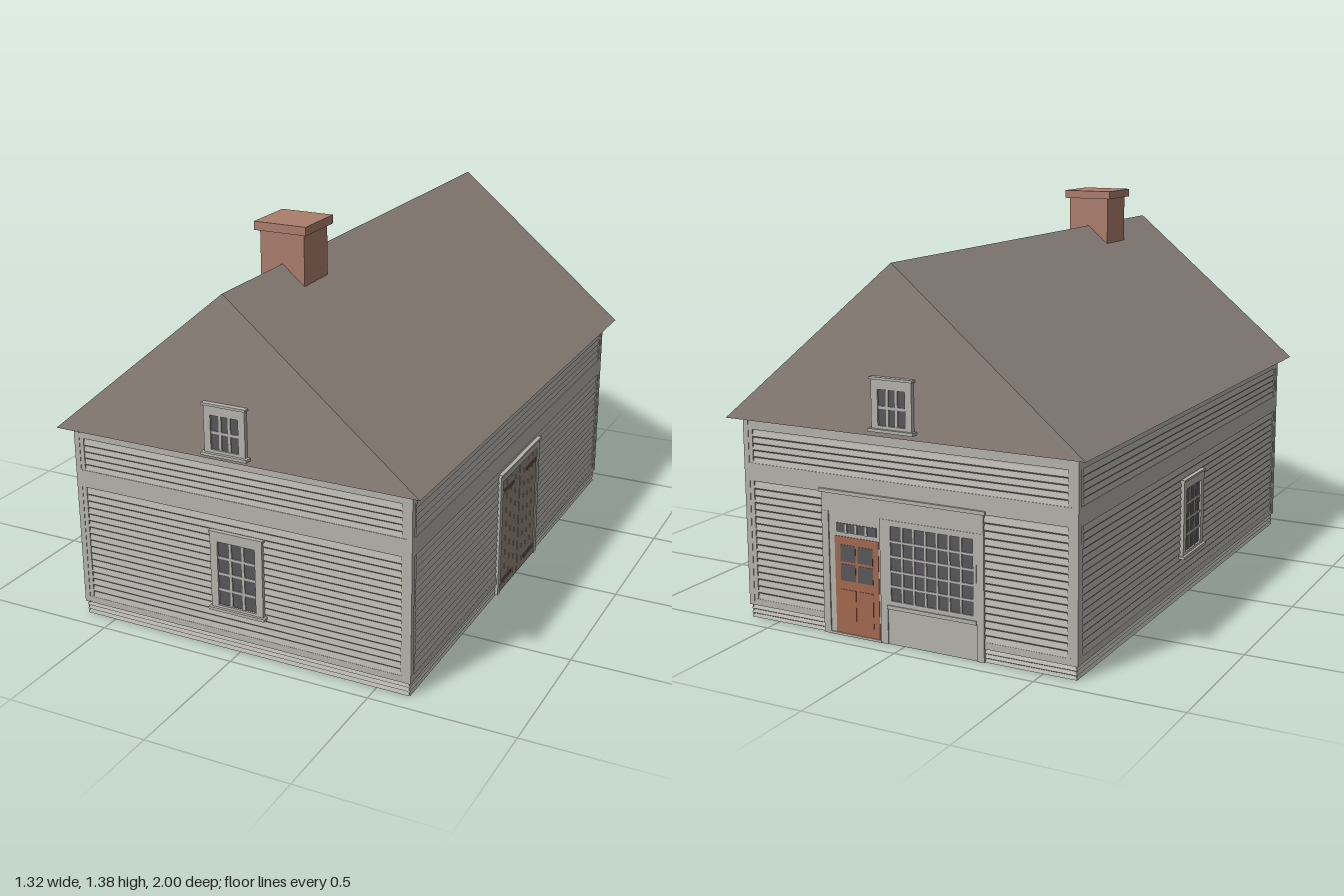
import * as THREE from 'three';

const mat = (name, color) => Object.assign(new THREE.MeshStandardMaterial({ color }), { name });

export function createModel() {
  const paint = mat('grey paint', 0xb3b2ab);
  const shingle = mat('roof brown', 0x8f857d);
  const brick = mat('brick', 0xab7d6c);
  const glass = mat('dark glass', 0x57575a);
  const timber = mat('barn timber', 0x91857b);
  const iron = mat('iron strap', 0x5c5650);
  const red = mat('red door', 0xa3684f);

  const house = new THREE.Group();
  house.name = 'house';

  const add = (parent, name, geo, material) => {
    const m = new THREE.Mesh(geo, material);
    m.name = name;
    parent.add(m);
    return m;
  };
  // Box given by its limits
  const block = (p, name, material, x0, x1, y0, y1, z0, z1) => {
    const m = add(p, name, new THREE.BoxGeometry(x1 - x0, y1 - y0, z1 - z0), material);
    m.position.set((x0 + x1) / 2, (y0 + y1) / 2, (z0 + z1) / 2);
    return m;
  };
  const rect = (C, x0, x1, y0, y1) => {
    const s = new C();
    s.moveTo(x0, y0); s.lineTo(x1, y0); s.lineTo(x1, y1); s.lineTo(x0, y1); s.closePath();
    return s;
  };
  // Board with a rectangular opening: o = outer limits, h = hole limits
  const frame = (p, name, material, o, h, depth) => {
    const s = rect(THREE.Shape, ...o);
    s.holes.push(rect(THREE.Path, ...h));
    return add(p, name, new THREE.ExtrudeGeometry(s, { depth, bevelEnabled: false }), material);
  };
  // Glass plate with glazing bars
  const glazing = (p, name, x0, x1, y0, y1, cols, rows, z, bar = 0.009) => {
    const g = new THREE.Group();
    g.name = name;
    p.add(g);
    block(g, 'glass', glass, x0, x1, y0, y1, z - 0.003, z);
    for (let i = 1; i < cols; i++) {
      const x = x0 + (x1 - x0) * i / cols;
      block(g, 'upright bar', paint, x - bar / 2, x + bar / 2, y0, y1, z, z + 0.003);
    }
    for (let i = 1; i < rows; i++) {
      const y = y0 + (y1 - y0) * i / rows;
      block(g, 'cross bar', paint, x0, x1, y - bar / 2, y + bar / 2, z, z + 0.003);
    }
  };
  // Overlapping boards: saw-tooth section run along the wall
  const clapboards = (p, name, half, y0, y1, n, out) => {
    const s = new THREE.Shape(), h = (y1 - y0) / n;
    s.moveTo(0, y0);
    for (let i = 0; i < n; i++) {
      s.lineTo(-out, y0 + i * h);
      s.lineTo(-out + 0.005, y0 + (i + 0.78) * h);
    }
    s.lineTo(-out + 0.005, y1);
    s.lineTo(0, y1);
    const geo = new THREE.ExtrudeGeometry(s, { depth: half * 2, bevelEnabled: false });
    geo.translate(0, 0, -half).rotateY(Math.PI / 2);
    add(p, name, geo, paint);
  };
  // Local frame of a wall face: x along it, z outward
  const face = (name, turn, dist) => {
    const outer = new THREE.Group(), inner = new THREE.Group();
    outer.name = name;
    outer.rotation.y = turn;
    inner.position.z = dist;
    outer.add(inner);
    house.add(outer);
    return inner;
  };

  // Hollow wall shell, open below, with ceiling
  const shell = frame(house, 'wallShell', paint,
    [-0.61, 0.61, -0.927, 0.927], [-0.605, 0.605, -0.922, 0.922], 0.7);
  shell.rotation.x = -Math.PI / 2;
  const ceiling = add(house, 'ceiling', new THREE.PlaneGeometry(1.21, 1.844), paint);
  ceiling.rotation.x = Math.PI / 2;
  ceiling.position.y = 0.695;

  // Four clad walls with trim boards
  const walls = {};
  [['front', 0, 0.61, 0.927], ['right', Math.PI / 2, 0.927, 0.61],
    ['back', Math.PI, 0.61, 0.927], ['left', -Math.PI / 2, 0.927, 0.61]].forEach(([n, turn, half, dist]) => {
    const w = walls[n] = face(n + 'Wall', turn, dist);
    const inner = half - 0.025;
    clapboards(w, 'plinth', half + 0.004, 0, 0.045, 3, 0.006);
    clapboards(w, 'lowerSiding', inner, 0.068, 0.483, 17, 0.008);
    clapboards(w, 'upperSiding', inner, 0.545, 0.66, 5, 0.008);
    block(w, 'baseBoard', paint, -half, half, 0.045, 0.068, 0, 0.009);
    block(w, 'bandBoard', paint, -half, half, 0.483, 0.545, 0, 0.01);
    block(w, 'friezeBoard', paint, -half, half, 0.66, 0.7, 0, 0.009);
    for (const s of [-1, 1]) {
      const x = s * (half - 0.012);
      block(w, 'cornerBoard', paint, x - 0.014, x + 0.014, 0.045, 0.7, 0, 0.0085);
    }
  });
  for (const x of [-1, 1]) for (const z of [-1, 1]) {
    const post = block(house, 'cornerPost', paint, -0.01, 0.01, 0.045, 0.7, -0.01, 0.01);
    post.position.x = x * 0.61;
    post.position.z = z * 0.927;
  }

  // Sash windows in the front and left walls
  for (const w of [walls.front, walls.left]) {
    frame(w, 'windowCasing', paint, [-0.097, 0.097, 0.155, 0.43], [-0.07, 0.07, 0.165, 0.395], 0.018);
    block(w, 'windowHead', paint, -0.1, 0.1, 0.424, 0.432, 0, 0.021);
    block(w, 'windowSill', paint, -0.105, 0.105, 0.146, 0.156, 0, 0.027);
    glazing(w, 'sash', -0.07, 0.07, 0.165, 0.395, 3, 4, 0.011);
  }

  // Roof prism
  const gable = new THREE.Shape();
  gable.moveTo(-0.66, 0.7); gable.lineTo(0.66, 0.7); gable.lineTo(0, 1.25); gable.closePath();
  add(house, 'roof', new THREE.ExtrudeGeometry(gable, { depth: 1.95, bevelEnabled: false })
    .translate(0, 0, -0.975), shingle);

  // Gable windows
  for (const [n, turn] of [['frontGable', 0], ['backGable', Math.PI]]) {
    const w = face(n, turn, 0.975);
    frame(w, 'gableCasing', paint, [-0.074, 0.074, 0.73, 0.89], [-0.05, 0.05, 0.74, 0.855], 0.015);
    block(w, 'gableHead', paint, -0.079, 0.079, 0.886, 0.894, 0, 0.019);
    block(w, 'gableSill', paint, -0.083, 0.083, 0.72, 0.73, 0, 0.025);
    glazing(w, 'gableSash', -0.05, 0.05, 0.74, 0.855, 3, 2, 0.009);
  }

  // Chimney
  block(house, 'chimneyStack', brick, -0.08, 0.08, 0.58, 1.36, 0.44, 0.6);
  block(house, 'chimneyCap', brick, -0.094, 0.094, 1.355, 1.384, 0.426, 0.614);

  // Double barn door on the right wall
  const barn = walls.right;
  for (const s of [-1, 1]) {
    block(barn, 'barnDoorPost', paint, s * 0.185 - 0.012, s * 0.185 + 0.012, 0.002, 0.44, 0, 0.015);
  }
  block(barn, 'barnDoorLintel', paint, -0.197, 0.197, 0.436, 0.46, 0, 0.015);
  block(barn, 'barnDoorCap', paint, -0.2, 0.2, 0.46, 0.468, 0, 0.02);
  block(barn, 'barnDoorBack', iron, -0.173, 0.173, 0.003, 0.436, 0, 0.009);
  for (const s of [-1, 1]) {
    for (let i = 0; i < 4; i++) {
      const x = s * (0.0225 + i * 0.043);
      block(barn, 'barnDoorPlank', timber, x - 0.0205, x + 0.0205, 0.003, 0.434, 0.008, 0.012);
    }
    for (const y of [0.04, 0.392]) {
      block(barn, 'hingeStrap', iron, s * 0.118 - 0.054, s * 0.118 + 0.054, y - 0.006, y + 0.006, 0.012, 0.015);
    }
  }

  // Shopfront on the back wall (local x runs toward the model's right)
  const shop = walls.back;
  block(shop, 'shopPanel', paint, -0.31, 0.295, 0, 0.483, 0, 0.009);
  block(shop, 'shopFascia', paint, -0.31, 0.295, 0.42, 0.483, 0, 0.012);
  block(shop, 'shopCornice', paint, -0.318, 0.303, 0.483, 0.495, 0, 0.018);
  for (const x of [-0.297, 0.283, -0.073]) {
    block(shop, 'pilaster', paint, x - 0.013, x + 0.013, 0, 0.42, 0, 0.013);
  }
  // Shop door with transom light
  block(shop, 'shopDoor', red, -0.262, -0.093, 0.008, 0.34, 0, 0.011);
  for (const [x0, x1] of [[-0.24, -0.182], [-0.173, -0.115]]) {
    for (const [y0, y1] of [[0.19, 0.247], [0.256, 0.313]]) {
      block(shop, 'doorPane', glass, x0, x1, y0, y1, 0.01, 0.012);
    }
    block(shop, 'doorPanel', red, x0, x1, 0.04, 0.16, 0.01, 0.013);
  }
  block(shop, 'doorStep', paint, -0.284, -0.086, 0, 0.008, 0, 0.014);
  glazing(shop, 'transom', -0.255, -0.1, 0.353, 0.385, 4, 1, 0.0105);
  // Display window
  frame(shop, 'displayCasing', paint, [-0.06, 0.27, 0.135, 0.42], [-0.045, 0.258, 0.15, 0.4], 0.014);
  block(shop, 'displaySill', paint, -0.06, 0.27, 0.122, 0.135, 0, 0.018);
  glazing(shop, 'displayWindow', -0.045, 0.258, 0.15, 0.4, 7, 5, 0.0105, 0.007);

  return house;
}
